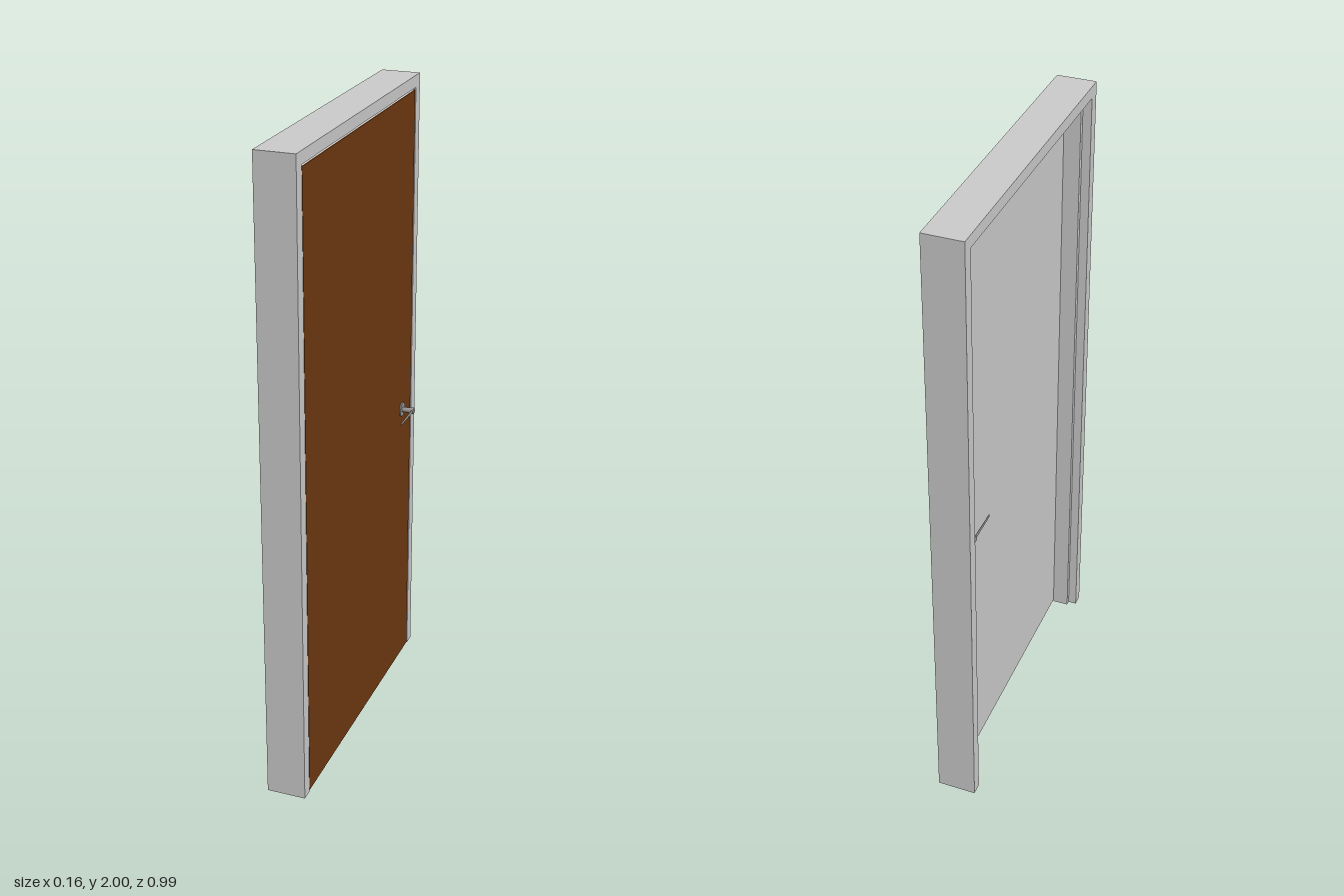
import * as THREE from 'three';

const grey = new THREE.MeshStandardMaterial({ color: 0xcccccc });
const wood = new THREE.MeshStandardMaterial({ color: 0x6d3912 });
const metal = new THREE.MeshStandardMaterial({ color: 0x969290 });

const HALF_WIDTH = 0.497, HEIGHT = 2;
const DOOR_FRONT = 0.04, DOOR_BACK = -0.002;

function add(parent, name, geometry, material, x = 0, y = 0, z = 0) {
  const mesh = new THREE.Mesh(geometry, material);
  mesh.name = name;
  mesh.position.set(x, y, z);
  parent.add(mesh);
  return mesh;
}

// Rabbeted profile (depth x, inset from the outer edge) swept up, across and down with mitred corners
function frameGeometry() {
  const profile = [
    [-0.082, 0], [0.04, 0], [0.04, 0.037], [-0.003, 0.037],
    [-0.003, 0.053], [-0.055, 0.053], [-0.055, 0.037], [-0.082, 0.037],
  ];
  const stations = [
    i => [HALF_WIDTH - i, 0], i => [HALF_WIDTH - i, HEIGHT - i],
    i => [i - HALF_WIDTH, HEIGHT - i], i => [i - HALF_WIDTH, 0],
  ];
  const n = profile.length, positions = [], index = [];
  for (const station of stations) {
    for (const [x, inset] of profile) {
      const [z, y] = station(inset);
      positions.push(x, y, z);
    }
  }
  for (let s = 0; s < 3; s++) {
    for (let j = 0; j < n; j++) {
      const k = (j + 1) % n;
      const a = s * n + j, b = s * n + k, c = b + n, d = a + n;
      index.push(a, b, c, a, c, d);
    }
  }
  // Feet of the two jambs
  const outline = profile.map(([x, i]) => new THREE.Vector2(x, i));
  for (const [a, b, c] of THREE.ShapeUtils.triangulateShape(outline, [])) {
    index.push(a, c, b, 3 * n + a, 3 * n + b, 3 * n + c);
  }
  const indexed = new THREE.BufferGeometry();
  indexed.setAttribute('position', new THREE.Float32BufferAttribute(positions, 3));
  indexed.setIndex(index);
  const geometry = indexed.toNonIndexed();
  geometry.computeVertexNormals();
  return geometry;
}

// Lever handle pointing out along +x from the origin, with the grip running toward +z
function leverHandle(name) {
  const handle = new THREE.Group();
  handle.name = name;
  const alongX = (r, length) => new THREE.CylinderGeometry(r, r, length, 32).rotateZ(-Math.PI / 2);
  add(handle, 'rose', alongX(0.023, 0.004), metal, 0.002);
  add(handle, 'neck', alongX(0.0085, 0.036), metal, 0.022);
  add(handle, 'neckEnd', alongX(0.0105, 0.012), metal, 0.036);
  const grip = new THREE.CylinderGeometry(0.0038, 0.0055, 0.112, 20).rotateX(Math.PI / 2).scale(0.55, 1, 1);
  add(handle, 'grip', grip, metal, 0.038, 0, 0.058);
  const tip = new THREE.SphereGeometry(0.0038, 16, 10).scale(0.55, 1, 0.6);
  add(handle, 'gripTip', tip, metal, 0.038, 0, 0.114);
  return handle;
}

export function createModel() {
  const model = new THREE.Group();
  model.name = 'framedDoor';

  add(model, 'doorFrame', frameGeometry(), grey);

  // Door leaf: grey core with a brown facing on the +x side
  const bottom = 0.004, top = 1.957, width = 0.91, facing = 0.003;
  const tall = top - bottom, mid = (top + bottom) / 2;
  const core = DOOR_FRONT - facing - DOOR_BACK;
  add(model, 'doorCore', new THREE.BoxGeometry(core, tall, width), grey, DOOR_BACK + core / 2, mid, 0.002);
  add(model, 'doorFacing', new THREE.BoxGeometry(facing, tall, width), wood, DOOR_FRONT - facing / 2, mid, 0.002);

  // Strike plate set on the latch-side jamb
  add(model, 'strikePlate', new THREE.BoxGeometry(0.026, 0.03, 0.003), grey, 0.02, 0.83, -0.4588);

  // Lever handles on both faces
  const front = leverHandle('outerHandle');
  front.position.set(DOOR_FRONT, 0.935, -0.366);
  const back = leverHandle('innerHandle');
  back.position.set(DOOR_BACK, 0.935, -0.366);
  back.scale.x = -1;
  model.add(front, back);

  return model;
}
